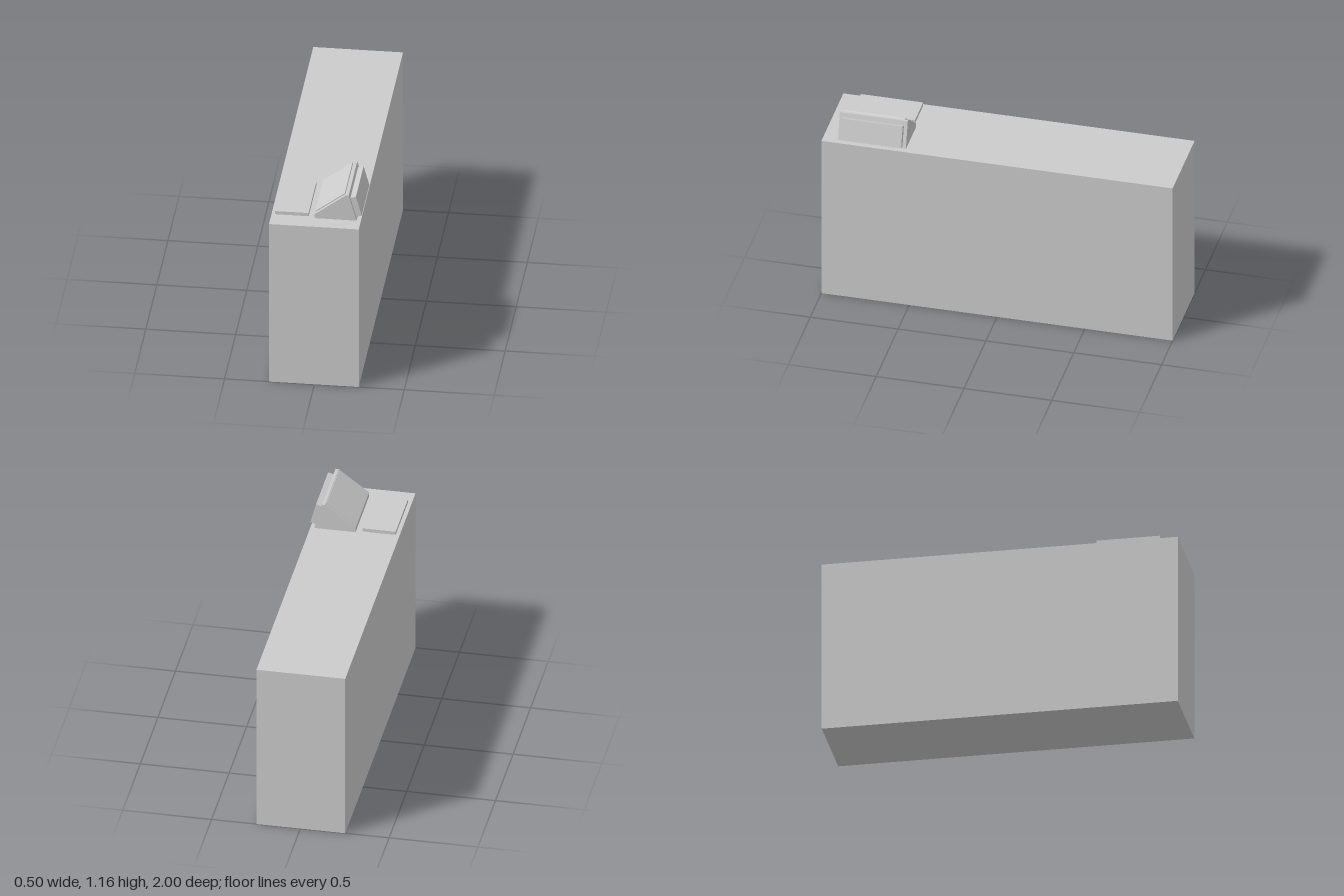
import * as THREE from 'three';

const material = new THREE.MeshStandardMaterial({ color: 0xcccccc, flatShading: true });

// Extrudes an outline in the x-y plane between two z positions.
function slab(name, outline, zBack, zFront) {
  const shape = new THREE.Shape(outline.map(([x, y]) => new THREE.Vector2(x, y)));
  const geometry = new THREE.ExtrudeGeometry(shape, { depth: zFront - zBack, bevelEnabled: false });
  geometry.translate(0, 0, zBack);
  const mesh = new THREE.Mesh(geometry, material);
  mesh.name = name;
  return mesh;
}

// Axis-aligned box from its minimum and maximum corners.
function box(name, [x0, y0, z0], [x1, y1, z1]) {
  const mesh = new THREE.Mesh(new THREE.BoxGeometry(x1 - x0, y1 - y0, z1 - z0), material);
  mesh.position.set((x0 + x1) / 2, (y0 + y1) / 2, (z0 + z1) / 2);
  mesh.name = name;
  return mesh;
}

export function createModel() {
  const model = new THREE.Group();
  model.name = 'serviceCounter';

  // Long counter block and the flat keyboard lying on it
  model.add(box('counter', [-0.253, 0, -1], [0.247, 1, 1]));
  model.add(box('keyboard', [-0.232, 1.005, 0.54], [-0.045, 1.025, 0.895]));

  // Terminal: wedge housing, thin sloping screen, tilted rear box
  const terminal = new THREE.Group();
  terminal.name = 'terminal';
  terminal.add(slab('housing', [
    [-0.009, 1.005], [0.223, 1.005], [0.18, 1.161], [0.163, 1.161], [-0.009, 1.031],
  ], 0.525, 0.912));
  terminal.add(slab('screen', [
    [-0.003, 1.0355], [0.16, 1.1587], [0.156, 1.164], [-0.007, 1.041],
  ], 0.545, 0.892));
  terminal.add(slab('rearBox', [
    [0.187, 1.137], [0.22, 1.018], [0.25, 1.027], [0.218, 1.145],
  ], 0.545, 0.893));
  model.add(terminal);

  return model;
}
